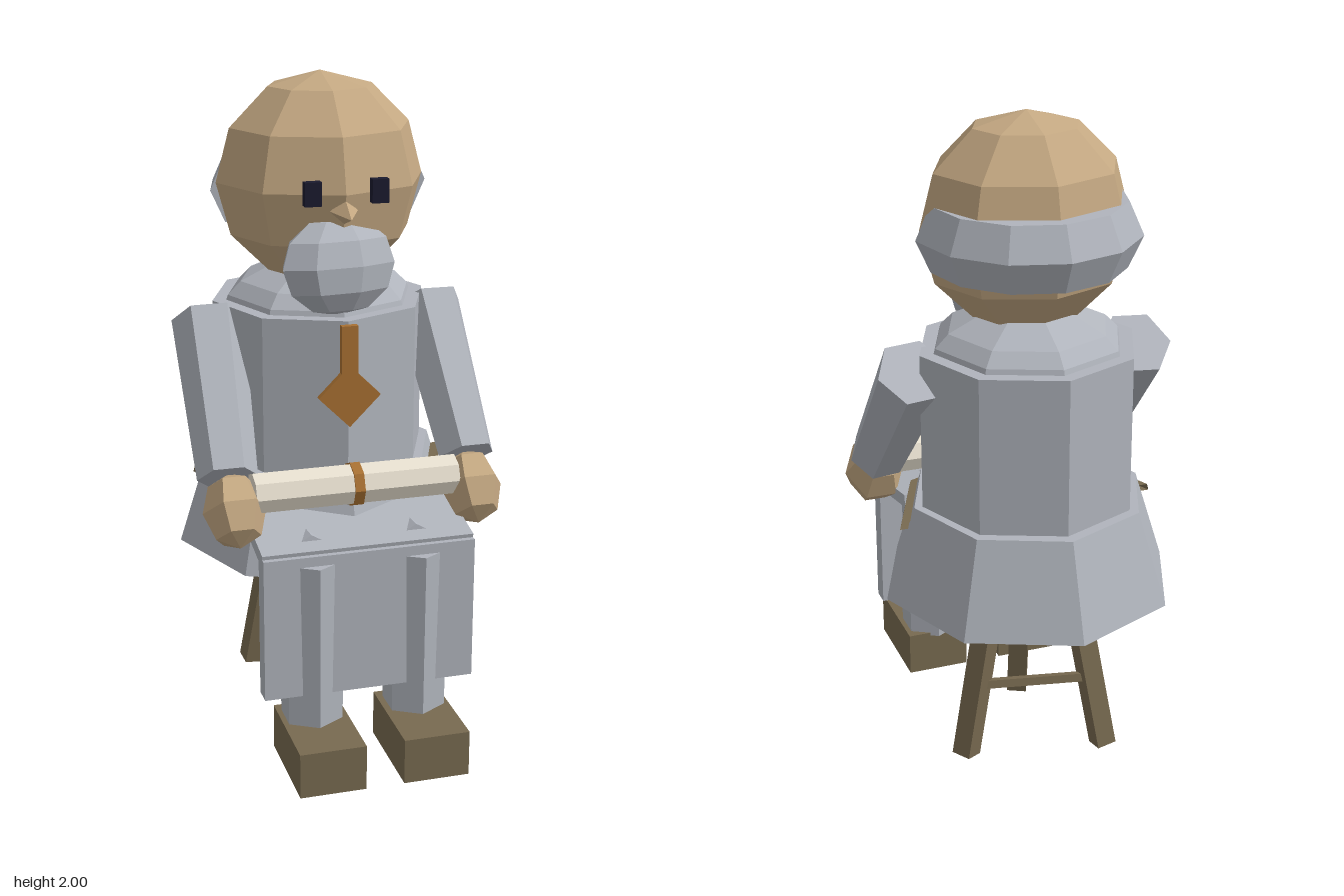
import * as THREE from 'three';

const mat = (name, color) => {
  const m = new THREE.MeshStandardMaterial({ color });
  m.name = name;
  return m;
};

export function createModel() {
  const root = new THREE.Group();
  root.name = 'seatedElder';

  const skin = mat('skin', 0xc4a882);
  const grey = mat('grey cloth and hair', 0xb0b4bc);
  const wood = mat('dark wood and leather', 0x786a50);
  const cream = mat('parchment', 0xe8e0d0);
  const bronze = mat('bronze', 0xa87032);
  const dark = mat('eye', 0x1a1a2e);
  const V = (x, y, z) => new THREE.Vector3(x, y, z);

  // Faceted mesh with a name
  function add(name, geo, material, x = 0, y = 0, z = 0, parent = root) {
    const g = geo.index ? geo.toNonIndexed() : geo;
    g.computeVertexNormals();
    const mesh = new THREE.Mesh(g, material);
    mesh.name = name;
    mesh.position.set(x, y, z);
    parent.add(mesh);
    return mesh;
  }
  const box = (w, h, d) => new THREE.BoxGeometry(w, h, d);
  const cyl = (rt, rb, h, n) => new THREE.CylinderGeometry(rt, rb, h, n);
  const ball = (rx, ry, rz, w, h) => new THREE.SphereGeometry(1, w, h).scale(rx, ry, rz);

  // Tapered prism between two points
  function limb(name, a, b, ra, rb, sides, material, turn = 0) {
    const dir = b.clone().sub(a);
    const g = cyl(rb, ra, dir.length(), sides).rotateY(turn);
    const c = a.clone().add(b).multiplyScalar(0.5);
    const m = add(name, g, material, c.x, c.y, c.z);
    m.quaternion.setFromUnitVectors(V(0, 1, 0), dir.normalize());
    return m;
  }

  // Head, nose and beard
  add('head', ball(0.32, 0.32, 0.285, 8, 6), skin, 0, 1.68, -0.11);
  const nose = add('nose', cyl(0, 0.042, 0.08, 4), skin, 0, 1.625, 0.19);
  nose.rotation.x = Math.PI / 2 + 0.15;
  const beard = add('beard', ball(0.205, 0.15, 0.115, 8, 6).rotateY(Math.PI / 8), grey, 0, 1.46, 0.1);
  beard.rotation.x = -0.15;

  // Hair roll around the back of the head, with closed ends
  const hair = new THREE.Group();
  hair.name = 'hair';
  hair.position.set(0, 1.655, -0.12);
  hair.scale.set(0.97, 1.25, 1);
  root.add(hair);
  add('hairRoll', new THREE.TorusGeometry(0.255, 0.09, 6, 6, Math.PI).rotateX(-Math.PI / 2), grey, 0, 0, 0, hair);
  for (const s of [-1, 1]) add('hairEnd', new THREE.CircleGeometry(0.09, 6), grey, s * 0.255, 0, 0, hair);

  // Torso, shoulders and flared coat
  add('torso', cyl(0.333, 0.333, 0.5, 8), grey, 0, 1.065, -0.13);
  const collar = [[0.295, 1.3], [0.285, 1.33], [0.245, 1.37], [0.14, 1.42], [0, 1.42]];
  add('shoulders', new THREE.LatheGeometry(collar.map(p => new THREE.Vector2(...p)), 8), grey, 0, 0, -0.13);
  add('coatSkirt', cyl(0.37, 0.465, 0.29, 8).scale(0.97, 1, 1), grey, 0, 0.69, -0.13);

  // Belt strip around the front half
  const beltMat = wood.clone();
  beltMat.side = THREE.DoubleSide;
  add('belt', new THREE.CylinderGeometry(0.4, 0.405, 0.02, 4, 1, false, -Math.PI / 2, Math.PI),
    beltMat, 0, 0.78, -0.13);
  limb('beltTail', V(0.1, 0.57, 0.24), V(0.1, 0.33, 0.275), 0.028, 0.022, 4, wood, Math.PI / 4);

  // Pendant on a strap
  add('pendantStrap', box(0.05, 0.15, 0.02), bronze, 0, 1.23, 0.21);
  add('pendant', box(0.134, 0.134, 0.02).rotateZ(Math.PI / 4), bronze, 0, 1.09, 0.21);

  // Lap cloth: sloping top and hanging front panel
  add('lapTop', box(0.64, 0.04, 0.33), grey, 0, 0.715, 0.26).rotation.x = 0.2;
  add('lapFront', box(0.64, 0.44, 0.06), grey, 0, 0.47, 0.41);

  // Mirrored eyes, arms, hands, legs and shoes
  for (const s of [-1, 1]) {
    const side = s > 0 ? 'left' : 'right';
    add(side + 'Eye', box(0.05, 0.07, 0.028), dark, s * 0.1, 1.69, 0.173);
    limb(side + 'Arm', V(s * 0.35, 1.265, -0.125), V(s * 0.37, 0.87, 0.21), 0.11, 0.09, 6, grey, Math.PI / 2);
    const hand = add(side + 'Hand', ball(0.095, 0.115, 0.11, 6, 4), skin, s * 0.365, 0.79, 0.275);
    hand.rotation.x = -0.7;
    limb(side + 'Thigh', V(s * 0.16, 0.6, -0.05), V(s * 0.16, 0.64, 0.38), 0.1, 0.09, 6, grey);
    add(side + 'Shin', cyl(0.1, 0.095, 0.52, 6), grey, s * 0.16, 0.4, 0.37);
    add(side + 'Shoe', box(0.2, 0.14, 0.315), wood, s * 0.158, 0.08, 0.447);
  }

  // Scroll held across the lap, with its band
  add('scroll', cyl(0.063, 0.063, 0.62, 8).rotateZ(Math.PI / 2), cream, 0, 0.835, 0.27);
  add('scrollBand', cyl(0.068, 0.068, 0.03, 8).rotateZ(Math.PI / 2), bronze, 0, 0.835, 0.27);

  // Three-legged stool with a rear rung
  const stoolZ = -0.15;
  add('stoolSeat', cyl(0.27, 0.26, 0.05, 10), skin, 0, 0.53, stoolZ);
  const at = (deg, r, y) => {
    const a = deg * Math.PI / 180;
    return V(Math.cos(a) * r, y, stoolZ + Math.sin(a) * r);
  };
  for (const deg of [102, 222, 342])
    limb('stoolLeg', at(deg, 0.15, 0.52), at(deg, 0.25, 0.01), 0.044, 0.044, 4, wood, Math.PI / 4);
  limb('stoolRung', at(222, 0.205, 0.24), at(342, 0.205, 0.24), 0.018, 0.018, 4, wood, Math.PI / 4);

  return root;
}
